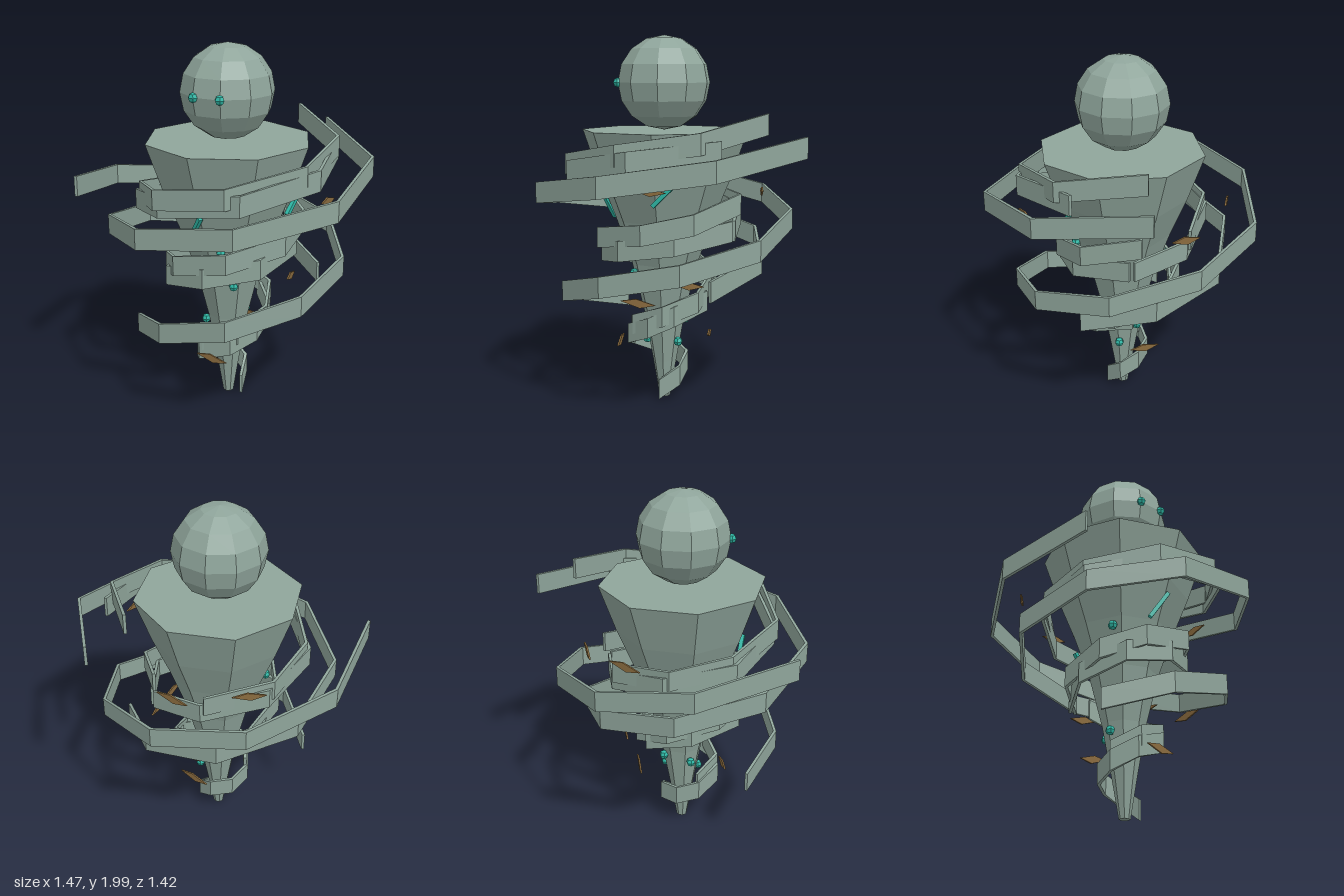
import * as THREE from 'three';

const CX = 0.03, CZ = 0.05; // body axis

const cloth = new THREE.MeshStandardMaterial({ color: 0x8fa59b });
cloth.name = 'grey green cloth';
const teal = new THREE.MeshStandardMaterial({ color: 0x2fb8a6 });
teal.name = 'glowing teal';
const brown = new THREE.MeshStandardMaterial({ color: 0x8a6b3e });
brown.name = 'dry leaf brown';

// Faceted copy of a geometry
function faceted(geo) {
  const g = geo.index ? geo.toNonIndexed() : geo;
  g.computeVertexNormals();
  return g;
}

// Upright strip with mitred corners, swept through [x, y, z] points
function ribbonGeometry(path, height = 0.11, thick = 0.016) {
  const pos = [], index = [];
  const dir = (a, b) => new THREE.Vector2(b[0] - a[0], b[2] - a[2]).normalize();
  path.forEach((p, i) => {
    const d0 = dir(path[Math.max(i - 1, 0)], path[Math.max(i, 1)]);
    const last = path.length - 1;
    const d1 = dir(path[Math.min(i, last - 1)], path[Math.min(i + 1, last)]);
    const t = d0.clone().add(d1).normalize();
    const half = thick / 2 / Math.max(t.dot(d1), 0.5);
    const ox = t.y * half, oz = -t.x * half, h = height / 2;
    pos.push(p[0] + ox, p[1] - h, p[2] + oz, p[0] + ox, p[1] + h, p[2] + oz);
    pos.push(p[0] - ox, p[1] + h, p[2] - oz, p[0] - ox, p[1] - h, p[2] - oz);
    if (i < last) {
      for (let k = 0; k < 4; k++) {
        const a = i * 4 + k, b = i * 4 + (k + 1) % 4;
        index.push(a, b, b + 4, a, b + 4, a + 4);
      }
    }
  });
  const e = (path.length - 1) * 4;
  index.push(0, 3, 2, 0, 2, 1, e, e + 1, e + 2, e, e + 2, e + 3);
  const g = new THREE.BufferGeometry();
  g.setAttribute('position', new THREE.Float32BufferAttribute(pos, 3));
  g.setIndex(index);
  return faceted(g);
}

export function createModel() {
  const root = new THREE.Group();
  root.name = 'wrappedSpirit';
  const add = (name, geo, mat, x = 0, y = 0, z = 0) => {
    const m = new THREE.Mesh(geo, mat);
    m.name = name;
    m.position.set(x, y, z);
    root.add(m);
    return m;
  };

  // Tapering eight-sided body
  const profile = [[0, 0.01], [0.03, 0.01], [0.065, 0.22], [0.115, 0.5], [0.185, 0.78],
    [0.27, 1.02], [0.36, 1.24], [0.45, 1.5], [0, 1.5]].map(p => new THREE.Vector2(...p));
  add('body', faceted(new THREE.LatheGeometry(profile, 8)), cloth, CX, 0, CZ);

  // Head and eyes
  add('head', faceted(new THREE.SphereGeometry(0.25, 10, 8)), cloth, 0.025, 1.75, CZ);
  const bead = faceted(new THREE.SphereGeometry(0.026, 6, 4));
  for (const s of [-1, 1]) add(s > 0 ? 'leftEye' : 'rightEye', bead, teal, 0.025 + s * 0.075, 1.75, 0.288);

  // Loose ribbons spiralling down around the body
  const ribbons = {
    outerRibbon: [[0.29, 1.43, -0.71], [0.71, 1.345, -0.29], [0.725, 1.265, 0.27], [0.36, 1.19, 0.665],
      [-0.15, 1.12, 0.695], [-0.515, 1.04, 0.38], [-0.56, 0.96, -0.09], [-0.285, 0.88, -0.43],
      [0.13, 0.8, -0.48], [0.445, 0.71, -0.24]],
    trailingRibbon: [[-0.63, 1.27, 0.51], [-0.73, 1.185, -0.02], [-0.485, 1.1, -0.465], [-0.03, 1.02, -0.635],
      [0.405, 0.92, -0.485], [0.63, 0.83, -0.11], [0.56, 0.745, 0.3], [0.265, 0.65, 0.56],
      [-0.11, 0.56, 0.56], [-0.38, 0.47, 0.335]],
    upperRibbon: [[0.2, 1.54, -0.51], [0.545, 1.46, -0.2], [0.54, 1.4, 0.22], [0.25, 1.33, 0.535],
      [-0.15, 1.27, 0.525], [-0.41, 1.2, 0.23], [-0.41, 1.14, -0.09], [-0.15, 1.08, -0.35]],
    chestRibbon: [[0.51, 1.42, -0.3], [0.585, 1.37, 0.155], [0.32, 1.3, 0.51], [-0.13, 1.23, 0.515],
      [-0.42, 1.16, 0.25], [-0.4, 1.1, -0.12], [-0.13, 1.03, -0.35], [0.18, 0.98, -0.34]],
    waistRibbon: [[0.15, 1.12, -0.37], [0.385, 1.04, -0.15], [0.39, 0.98, 0.12], [0.18, 0.93, 0.385],
      [-0.12, 0.87, 0.385], [-0.27, 0.81, 0.2], [-0.26, 0.74, -0.08], [-0.08, 0.67, -0.22]],
    lowerWaistRibbon: [[0.2, 0.98, -0.33], [0.38, 0.93, -0.05], [0.31, 0.88, 0.25], [0.05, 0.83, 0.39],
      [-0.2, 0.78, 0.32], [-0.275, 0.72, 0.05], [-0.15, 0.65, -0.18]],
    hemRibbon: [[0, 0.66, -0.2], [0.19, 0.59, -0.15], [0.25, 0.52, 0.03], [0.16, 0.45, 0.2],
      [-0.03, 0.39, 0.24], [-0.12, 0.32, 0.11]],
    tailRibbon: [[0.1, 0.58, -0.19], [0.24, 0.52, -0.03], [0.23, 0.45, 0.11], [0.13, 0.39, 0.23],
      [-0.05, 0.33, 0.24], [-0.125, 0.27, 0.12], [-0.1, 0.23, 0], [0, 0.21, -0.07],
      [0.095, 0.15, -0.04], [0.118, 0.07, 0.07]],
  };
  for (const [name, path] of Object.entries(ribbons)) add(name, ribbonGeometry(path), cloth);

  // Drifting leaves: thin slanted diamonds facing outward
  const diamond = new THREE.Shape([[-0.09, 0.012], [0.01, -0.024], [0.09, -0.008], [-0.01, 0.024]]
    .map(p => new THREE.Vector2(...p)));
  const leaf = new THREE.ExtrudeGeometry(diamond, { depth: 0.009, bevelEnabled: false });
  const leaves = [[0.05, 0.325, 0.29, 0], [0.42, 0.635, 0.13, 90], [0.33, 0.715, -0.11, 100],
    [0.59, 1.235, 0.05, 90], [-0.045, 1.165, -0.47, 185], [-0.4, 1.235, -0.31, 230],
    [0.02, 0.62, -0.27, 180], [0.03, 0.38, -0.195, 180]];
  for (const [x, y, z, turn] of leaves) {
    add('leaf', leaf, brown, x, y, z).rotation.y = THREE.MathUtils.degToRad(turn);
  }

  // Glowing beads set in the body
  const beads = [[-0.185, 0.97, 0.2], [0.1, 0.945, 0.28], [0.135, 0.73, 0.2], [-0.095, 0.445, 0.08],
    [0.31, 1.01, 0.06], [0.04, 0.34, 0.145], [0.1, 0.345, -0.035], [0, 0.45, -0.06], [0.09, 0.5, -0.05]];
  for (const p of beads) add('bead', bead, teal, ...p);

  // Glowing slashes
  const slashes = [[[-0.05, 1.01, 0.34], [0.04, 1.16, 0.39]], [[0.375, 1.13, 0.06], [0.4, 1.25, -0.06]],
    [[-0.05, 0.84, -0.17], [-0.13, 0.95, -0.17]]];
  for (const [a, b] of slashes) {
    const from = new THREE.Vector3(...a), to = new THREE.Vector3(...b);
    const m = add('slash', new THREE.BoxGeometry(0.022, 0.022, from.distanceTo(to)), teal);
    m.position.copy(from).lerp(to, 0.5);
    m.lookAt(to);
  }
  return root;
}
